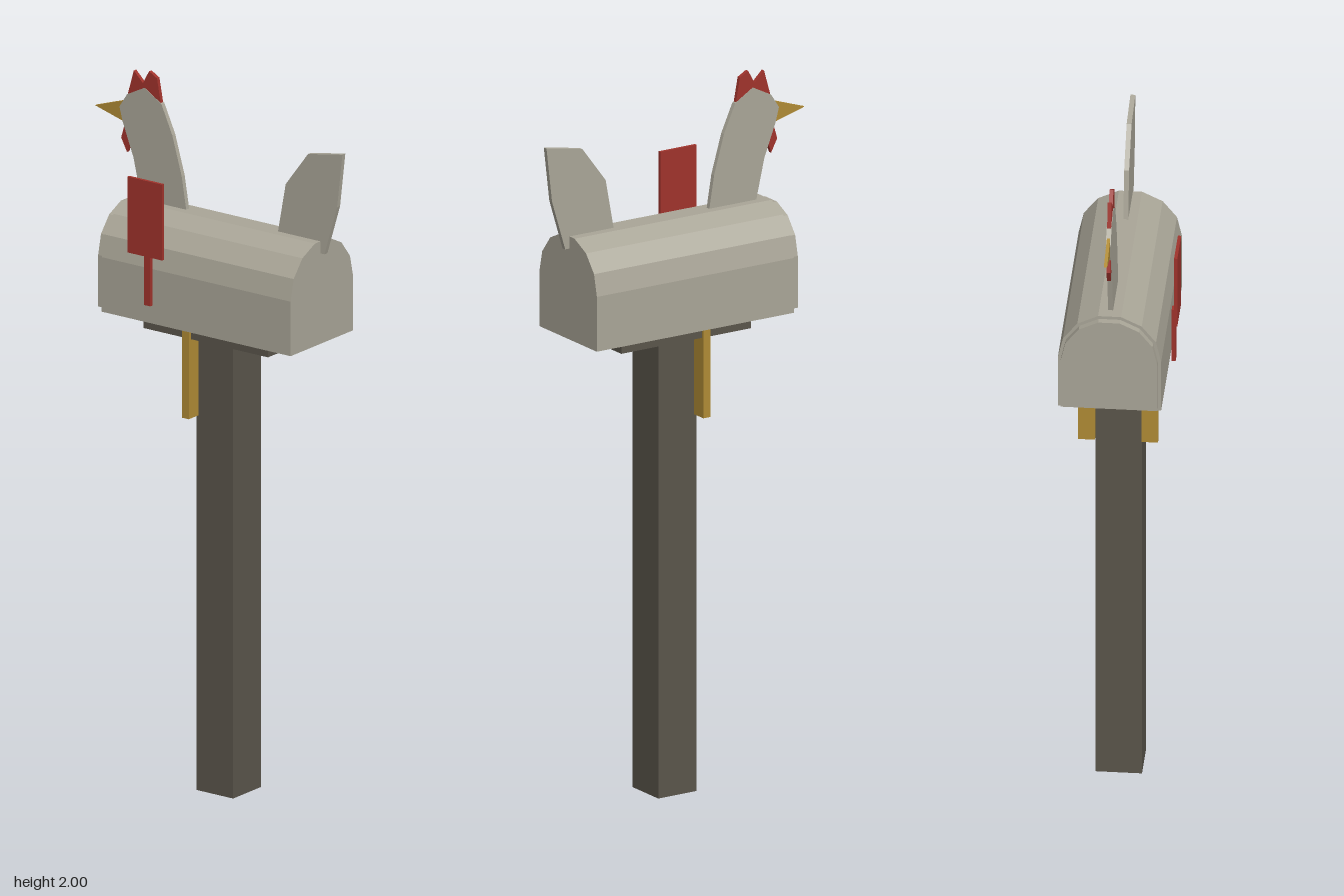
import * as THREE from 'three';

const CX = 0.015; // centre line of the mailbox

const paint = (color) => new THREE.MeshStandardMaterial({ color, flatShading: true });

export function createModel() {
  const model = new THREE.Group();
  model.name = 'roosterMailbox';
  const grey = paint(0xaaa698);
  const dark = paint(0x5a554b);
  const gold = paint(0xb08b35);
  const red = paint(0xa0332c);

  const add = (name, geometry, material) => {
    const mesh = new THREE.Mesh(geometry, material);
    mesh.name = name;
    model.add(mesh);
  };

  // Box given by its limits on each axis
  const box = (name, material, [x0, x1], [y0, y1], [z0, z1]) => {
    const g = new THREE.BoxGeometry(x1 - x0, y1 - y0, z1 - z0);
    g.translate((x0 + x1) / 2, (y0 + y1) / 2, (z0 + z1) / 2);
    add(name, g, material);
  };

  // Flat cut-out in the z-y plane, centred on the mailbox
  const cutout = (name, material, points, thickness) => {
    const shape = new THREE.Shape(points.map(([z, y]) => new THREE.Vector2(z, y)));
    const g = new THREE.ExtrudeGeometry(shape, { depth: thickness, bevelEnabled: false });
    g.translate(0, 0, -thickness / 2).rotateY(-Math.PI / 2).translate(CX, 0, 0);
    add(name, g, material);
  };

  // Arched prism: straight sides under a seven-sided half round
  const arch = (name, radius, bottom, z0, z1) => {
    const points = [new THREE.Vector2(-radius, bottom), new THREE.Vector2(radius, bottom)];
    for (let i = 0; i <= 7; i++) {
      const a = (Math.PI * i) / 7;
      points.push(new THREE.Vector2(radius * Math.cos(a), 1.492 + radius * Math.sin(a)));
    }
    const g = new THREE.ExtrudeGeometry(new THREE.Shape(points), { depth: z1 - z0, bevelEnabled: false });
    g.translate(CX, 0, z0);
    add(name, g, grey);
  };

  // Post, mounting plate and mailbox
  box('post', dark, [-0.05, 0.077], [0, 1.301], [-0.03, 0.095]);
  box('mountingPlate', dark, [-0.086, 0.115], [1.301, 1.336], [-0.183, 0.241]);
  arch('mailboxBody', 0.141, 1.336, -0.295, 0.348);
  arch('mailboxDoor', 0.132, 1.345, -0.314, -0.295);

  // Hanging legs on both sides of the post
  box('rightLeg', gold, [-0.095, -0.05], [1.074, 1.336], [-0.045, -0.022]);
  box('leftLeg', gold, [0.077, 0.123], [1.074, 1.336], [-0.045, -0.022]);

  // Signal flag
  box('flag', red, [-0.16, -0.151], [1.537, 1.754], [-0.182, -0.064]);
  box('flagArm', red, [-0.151, -0.14], [1.394, 1.558], [-0.133, -0.111]);

  // Rooster cut-outs
  cutout('tail', grey, [
    [0.362, 1.595], [0.203, 1.595], [0.204, 1.63], [0.23, 1.77],
    [0.306, 1.871], [0.423, 1.892], [0.405, 1.738],
  ], 0.0135);
  cutout('headAndNeck', grey, [
    [-0.103, 1.595], [-0.124, 1.722], [-0.156, 1.833], [-0.193, 1.915],
    [-0.251, 1.95], [-0.31, 1.92], [-0.336, 1.88], [-0.325, 1.839],
    [-0.288, 1.743], [-0.262, 1.63], [-0.257, 1.595],
  ], 0.0135);
  cutout('beak', gold, [[-0.32, 1.9], [-0.421, 1.866], [-0.318, 1.838]], 0.009);
  cutout('comb', red, [
    [-0.195, 1.91], [-0.209, 1.985], [-0.236, 2], [-0.257, 1.962],
    [-0.288, 1.992], [-0.31, 1.915], [-0.251, 1.93],
  ], 0.011);
  cutout('wattle', red, [[-0.315, 1.845], [-0.298, 1.795], [-0.311, 1.754], [-0.331, 1.792]], 0.011);

  return model;
}
